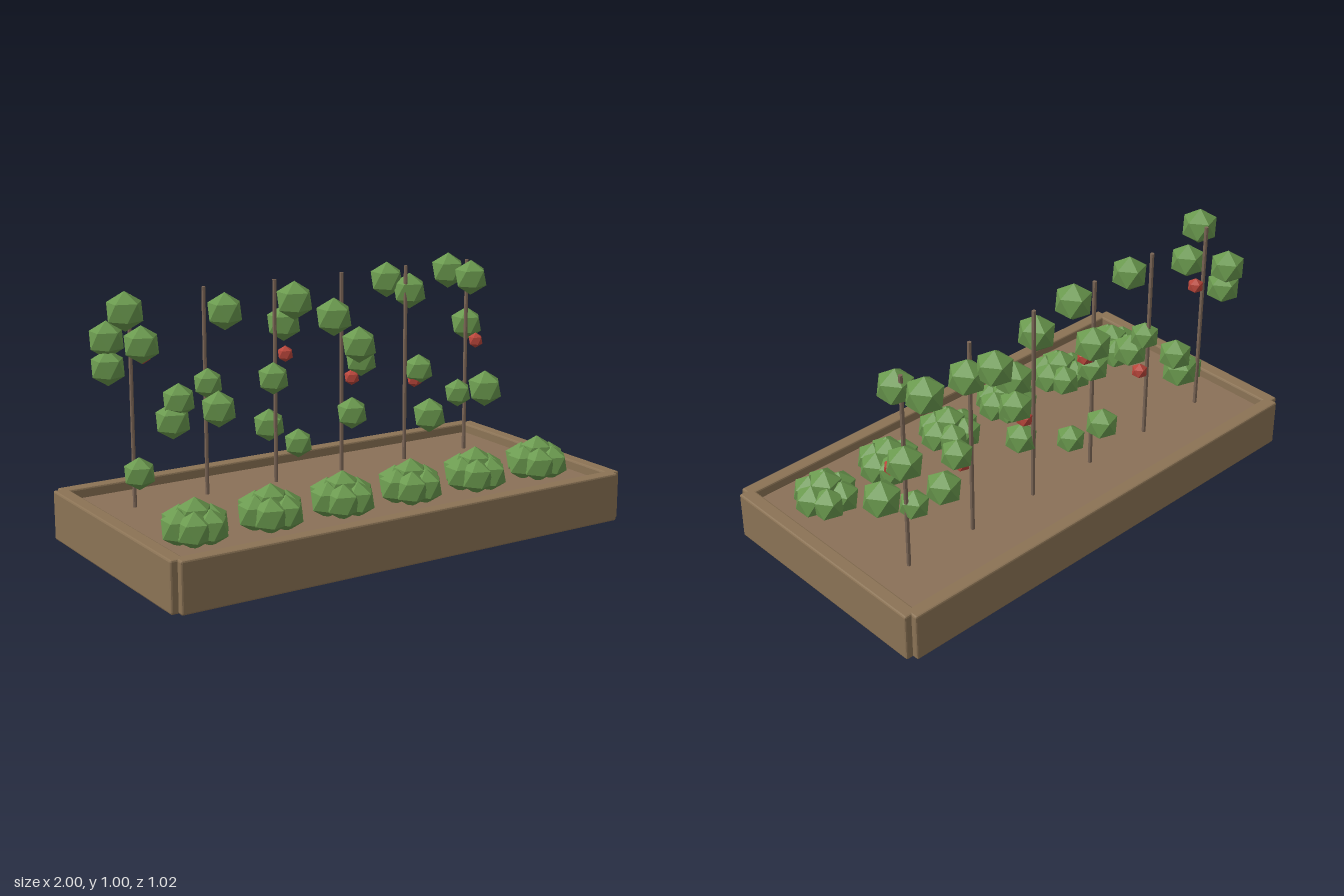
import * as THREE from 'three';
import { RoundedBoxGeometry } from 'three/addons/geometries/RoundedBoxGeometry.js';

const flat = (name, color) => {
  const m = new THREE.MeshStandardMaterial({ color, flatShading: true });
  m.name = name;
  return m;
};

export function createModel() {
  const wood = flat('wood', 0x8b7355);
  const soilBrown = flat('soil brown', 0x8a7058);
  const stakeBrown = flat('stake brown', 0x7a6555);
  const leafGreen = flat('leaf green', 0x6a994e);
  const fruitRed = flat('fruit red', 0xb8453a);

  const root = new THREE.Group();
  root.name = 'gardenBed';
  const add = (parent, name, geo, mat, x, y, z, size = 1) => {
    const mesh = new THREE.Mesh(geo, mat);
    mesh.name = name;
    mesh.position.set(x, y, z);
    mesh.scale.setScalar(size);
    parent.add(mesh);
  };
  const group = (name) => {
    const g = new THREE.Group();
    g.name = name;
    root.add(g);
    return g;
  };

  // Icosahedron standing on one corner, used for all foliage and fruit
  const ball = new THREE.IcosahedronGeometry(1, 0);
  ball.rotateZ(Math.atan2(1, (1 + Math.sqrt(5)) / 2));
  ball.rotateY(Math.PI);

  // Wooden frame and soil
  const frame = group('frame');
  const longBoard = new RoundedBoxGeometry(1.944, 0.195, 0.056, 1, 0.007);
  const endBoard = new RoundedBoxGeometry(0.058, 0.195, 0.974, 1, 0.007);
  for (const s of [1, -1]) {
    add(frame, s > 0 ? 'frontBoard' : 'backBoard', longBoard, wood, 0, 0.0975, s * 0.484);
    add(frame, s > 0 ? 'leftBoard' : 'rightBoard', endBoard, wood, s * 0.971, 0.0975, 0);
  }
  add(root, 'soil', new THREE.BoxGeometry(1.9, 0.152, 0.926), soilBrown, 0, 0.08, 0);

  // Each climbing plant: leaves [x, y, z, radius] and one fruit [x, y, z]
  const plants = [
    { leaves: [[-0.832, 0.925, -0.157, 0.075], [-0.84, 0.797, -0.305, 0.072], [-0.768, 0.795, -0.16, 0.072],
      [-0.847, 0.695, -0.285, 0.07], [-0.778, 0.3, -0.187, 0.064]], fruit: [-0.723, 0.733, -0.247] },
    { leaves: [[-0.41, 0.88, -0.177, 0.073], [-0.463, 0.6, -0.222, 0.06], [-0.54, 0.524, -0.318, 0.068],
      [-0.452, 0.51, -0.16, 0.072], [-0.564, 0.444, -0.325, 0.074]], fruit: [-0.412, 0.472, -0.25] },
    { leaves: [[-0.094, 0.888, -0.192, 0.077], [-0.064, 0.775, -0.325, 0.073], [-0.174, 0.583, -0.222, 0.065],
      [-0.147, 0.374, -0.305, 0.067], [-0.06, 0.305, -0.225, 0.06]], fruit: [-0.102, 0.668, -0.25] },
    { leaves: [[0.072, 0.81, -0.168, 0.077], [0.206, 0.68, -0.19, 0.075], [0.249, 0.604, -0.242, 0.068],
      [0.174, 0.403, -0.193, 0.066]], fruit: [0.21, 0.535, -0.25] },
    { leaves: [[0.443, 0.9, -0.344, 0.074], [0.507, 0.858, -0.272, 0.074], [0.537, 0.53, -0.243, 0.064],
      [0.543, 0.348, -0.172, 0.073]], fruit: [0.521, 0.487, -0.25] },
    { leaves: [[0.742, 0.915, -0.325, 0.075], [0.765, 0.9, -0.198, 0.073], [0.837, 0.68, -0.318, 0.071],
      [0.735, 0.406, -0.235, 0.06], [0.817, 0.43, -0.155, 0.077]], fruit: [0.831, 0.62, -0.243] },
  ];
  const stake = new THREE.CylinderGeometry(0.008, 0.008, 0.82, 8);

  plants.forEach(({ leaves, fruit }, i) => {
    const x = (i - 2.5) * 0.31;

    // Staked plant in the back row
    const plant = group('climbingPlant');
    add(plant, 'stake', stake, stakeBrown, x, 0.56, -0.24);
    for (const [lx, ly, lz, r] of leaves) add(plant, 'leafCluster', ball, leafGreen, lx, ly, lz, r);
    add(plant, 'fruit', ball, fruitRed, ...fruit, 0.033);

    // Low bush in the front row: a ring of six around a raised centre
    const bush = group('bush');
    add(bush, 'bushCentre', ball, leafGreen, x, 0.25, 0.242, 0.07);
    for (let k = 0; k < 6; k++) {
      const a = (k * Math.PI) / 3;
      add(bush, 'bushLeaf', ball, leafGreen, x + 0.065 * Math.cos(a), 0.215, 0.242 + 0.065 * Math.sin(a), 0.07);
    }
  });
  return root;
}
